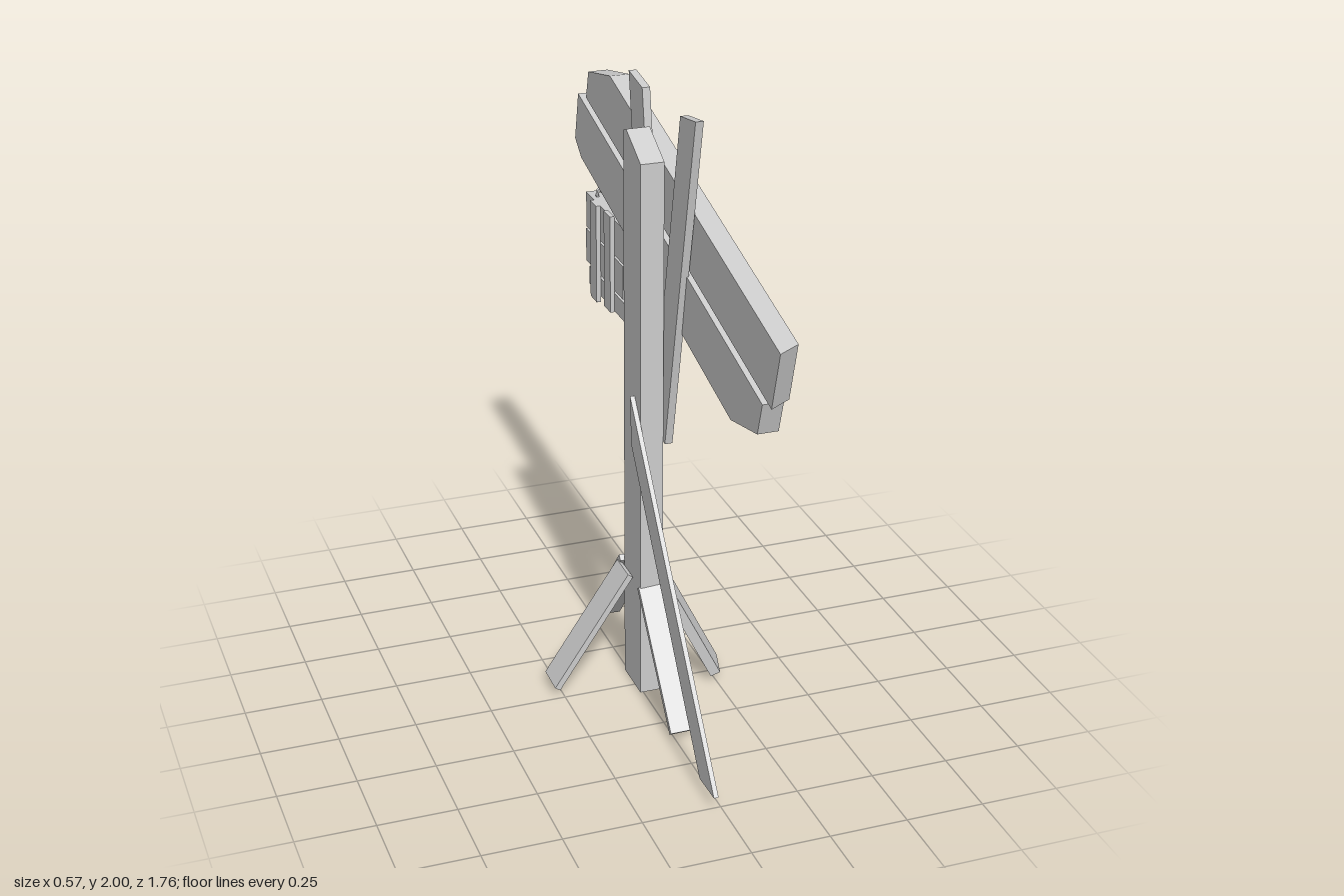
import * as THREE from 'three';

const material = new THREE.MeshStandardMaterial({ color: 0xcccccc, flatShading: true });

function addMesh(parent, name, geometry) {
  const mesh = new THREE.Mesh(geometry, material);
  mesh.name = name;
  parent.add(mesh);
  return mesh;
}

// Flat slab: outline given as [z, y] points, thick from x0 to x1; move() may shift vertices.
function slab(parent, name, outline, x0, x1, move) {
  const shape = new THREE.Shape(outline.map(([z, y]) => new THREE.Vector2(-z, y)));
  const geo = new THREE.ExtrudeGeometry(shape, { depth: x1 - x0, bevelEnabled: false });
  geo.rotateY(Math.PI / 2).translate(x0, 0, 0);
  if (move) {
    const pos = geo.attributes.position;
    const v = new THREE.Vector3();
    for (let i = 0; i < pos.count; i++) {
      move(v.fromBufferAttribute(pos, i));
      pos.setXYZ(i, v.x, v.y, v.z);
    }
    geo.computeVertexNormals();
  }
  return addMesh(parent, name, geo);
}

// Square-cut board running between two points, its width along a given direction.
function board(parent, name, top, bottom, across, width, thickness) {
  const a = new THREE.Vector3(...top);
  const b = new THREE.Vector3(...bottom);
  const along = a.clone().sub(b);
  const length = along.length();
  along.normalize();
  const side = new THREE.Vector3(...across);
  side.addScaledVector(along, -side.dot(along)).normalize();
  const normal = side.clone().cross(along);
  const geo = new THREE.BoxGeometry(width, length, thickness);
  geo.applyMatrix4(new THREE.Matrix4().makeBasis(side, along, normal));
  geo.translate(...a.add(b).multiplyScalar(0.5).toArray());
  return addMesh(parent, name, geo);
}

// Chain of links, alternately seen flat and edge-on.
function chain(parent, name, z, yTop, count) {
  const group = new THREE.Group();
  group.name = name;
  for (let i = 0; i < count; i++) {
    const link = addMesh(group, 'chainLink', new THREE.TorusGeometry(0.018, 0.006, 6, 10));
    link.scale.y = 1.35;
    link.rotation.y = i % 2 ? Math.PI / 2 : 0;
    link.position.set(0.162, yTop - i * 0.033, z);
  }
  parent.add(group);
}

export function createModel() {
  const model = new THREE.Group();
  model.name = 'signpost';

  // Post with slanted top
  slab(model, 'post',
    [[0.055, 0], [-0.1, 0], [-0.1, 1.87], [-0.075, 1.88], [0.055, 1.81]], -0.01, 0.065);

  // Crossed boards behind the sign, leaning slightly
  slab(model, 'frontBackingBoard',
    [[0.28, 2], [0.155, 1.98], [-0.042, 0.91], [0.07, 0.893]], 0.065, 0.09,
    (v) => { v.x += (v.y - 0.9) * 0.01; });
  slab(model, 'rearBackingBoard',
    [[-0.143, 1.98], [-0.265, 2], [-0.143, 1.046], [-0.02, 1.057]], 0.065, 0.09,
    (v) => { v.x += (2 - v.y) * 0.01; });

  // Sign planks with clipped corners
  slab(model, 'upperSignPlank',
    [[0.88, 1.523], [-0.546, 1.899], [-0.764, 1.852], [-0.79, 1.757], [0.827, 1.335]], 0.1, 0.165,
    (v) => { if (v.x > 0.13 && v.z > 0.8) { v.z -= 0.029; v.y += 0.009; } });
  slab(model, 'lowerSignPlank',
    [[0.785, 1.333], [-0.843, 1.756], [-0.88, 1.592], [-0.817, 1.544], [0.551, 1.184], [0.753, 1.228]],
    0.09, 0.155);

  // Long side strut
  slab(model, 'strut',
    [[0.758, 0.04], [0.636, 0.035], [0.01, 0.88], [0, 1.04]], -0.025, -0.01);

  // Splayed feet
  board(model, 'frontFoot', [0.028, 0.385, 0.045], [0.03, 0.015, 0.345], [1, 0.06, 0], 0.085, 0.02);
  board(model, 'backFoot', [0.03, 0.415, -0.11], [0.027, 0.045, -0.42], [1, 0, 0.06], 0.105, 0.022);
  board(model, 'leftFoot', [0.075, 0.405, -0.025], [0.26, 0.028, 0.018], [-0.2, -0.15, 1], 0.11, 0.034);
  board(model, 'rightFoot', [-0.02, 0.4, -0.067], [-0.27, 0.025, -0.07], [0, 0, 1], 0.11, 0.02);

  // Small hanging sign: three planks on two slats
  const hanging = new THREE.Group();
  hanging.name = 'hangingSign';
  model.add(hanging);
  const rect = (z0, z1, y0, y1) => [[z0, y0], [z1, y0], [z1, y1], [z0, y1]];
  for (const r of [[-0.488, -0.875, 1.277, 1.4], [-0.498, -0.88, 1.152, 1.268], [-0.472, -0.848, 1.078, 1.142]])
    slab(hanging, 'hangingPlank', rect(...r), 0.125, 0.168);
  for (const r of [[-0.583, -0.647, 1.075, 1.412], [-0.726, -0.79, 1.057, 1.4]])
    slab(hanging, 'hangingSlat', rect(...r), 0.11, 0.125);

  // Chains
  chain(model, 'frontChain', -0.562, 1.478, 3);
  chain(model, 'rearChain', -0.815, 1.54, 5);
  return model;
}
